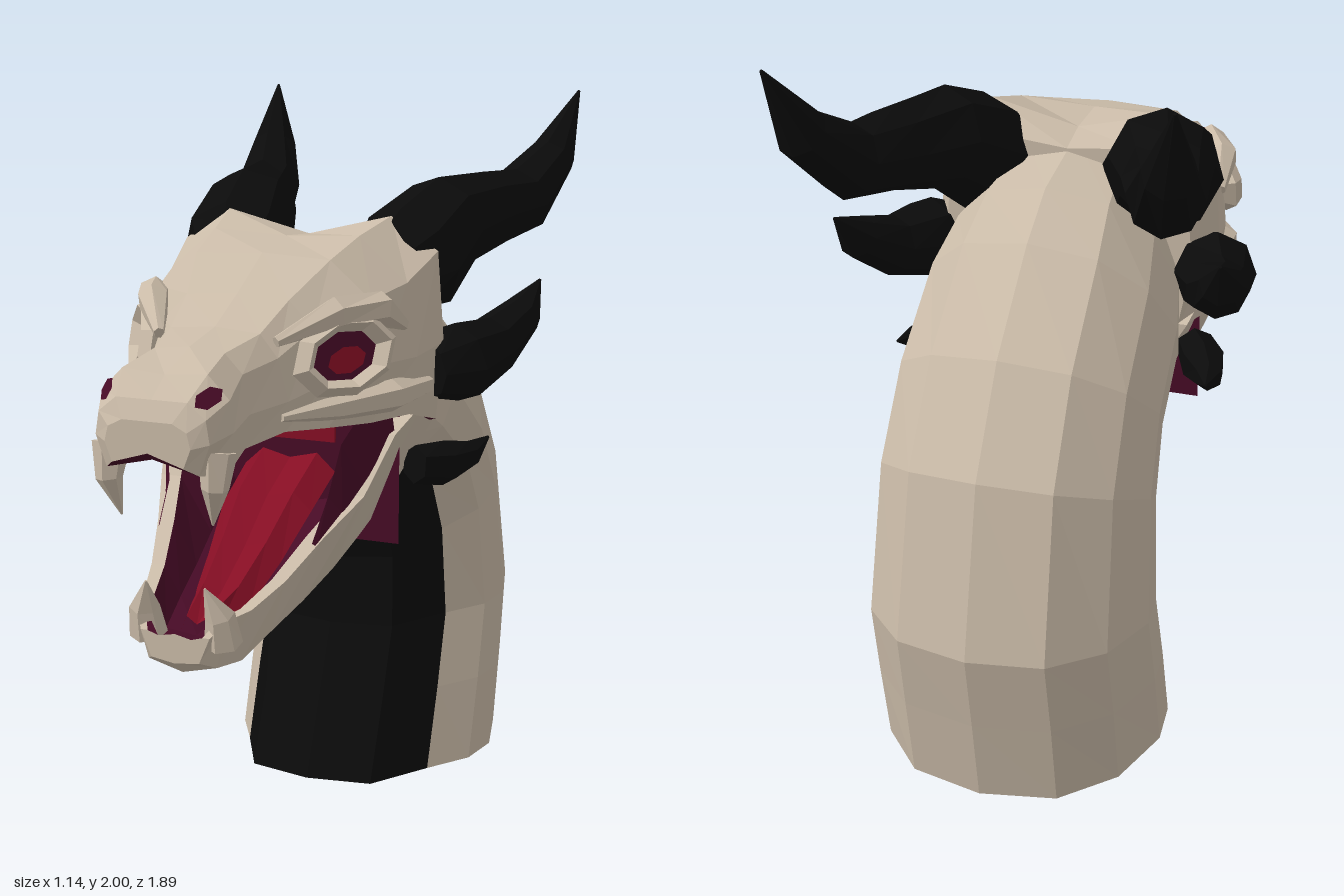
import * as THREE from 'three';

const mat = (name, color, side = THREE.FrontSide) => {
  const m = new THREE.MeshStandardMaterial({ color, side });
  m.name = name;
  return m;
};
const skin = mat('bone skin', 0xcabba8);
const black = mat('black horn', 0x0b0b0b);
const mouth = mat('dark mouth', 0x470b26, THREE.DoubleSide);
const red = mat('red tongue', 0x860e24, THREE.DoubleSide);

const V = (x, y, z) => new THREE.Vector3(x, y, z);

export function createModel() {
  const model = new THREE.Group();

  const add = (name, geo, material, parent = model) => {
    const flat = geo.index ? geo.toNonIndexed() : geo;
    flat.computeVertexNormals();
    const mesh = new THREE.Mesh(flat, material);
    mesh.name = name;
    parent.add(mesh);
    return mesh;
  };

  // Faceted skin over rings that run clockwise seen from the end of the path
  const loft = (rings, { closed = false, start = false, end = false } = {}) => {
    const pts = [];
    const n = rings[0].length;
    for (let i = 0; i < rings.length - 1; i++) {
      for (let j = 0; j < (closed ? n : n - 1); j++) {
        const k = (j + 1) % n;
        const a = rings[i][j], b = rings[i][k], c = rings[i + 1][k], d = rings[i + 1][j];
        pts.push(a, d, c, a, c, b);
      }
    }
    const cap = (ring, flip) => {
      const mid = ring.reduce((s, p) => s.add(p), V(0, 0, 0)).divideScalar(n);
      ring.forEach((p, j) => {
        const q = ring[(j + 1) % n];
        if (flip) pts.push(mid, q, p); else pts.push(mid, p, q);
      });
    };
    if (start) cap(rings[0], false);
    if (end) cap(rings[rings.length - 1], true);
    return new THREE.BufferGeometry().setFromPoints(pts);
  };

  // Half profile (centre outward) mirrored across x
  const sym = (half, flip = false) => {
    const full = [...half.slice(1).reverse().map(p => V(-p.x, p.y, p.z)), ...half];
    return flip ? full.reverse() : full;
  };

  // Tapering spike along [x, y, z, radius] points
  const spike = (name, path, s, material, sides = 8, squash = 1) => {
    const c = path.map(p => V(p[0] * s, p[1], p[2]));
    const rings = c.map((p, i) => {
      const t = c[Math.min(i + 1, c.length - 1)].clone().sub(c[Math.max(i - 1, 0)]).normalize();
      const u = t.clone().cross(V(1, 0, 0)).normalize();
      const v = t.clone().cross(u);
      return Array.from({ length: sides }, (_, j) => {
        const a = -j / sides * Math.PI * 2, r = path[i][3];
        return p.clone().addScaledVector(u, Math.cos(a) * r).addScaledVector(v, Math.sin(a) * r * squash);
      });
    });
    return add(name, loft(rings, { closed: true, start: true, end: true }), material);
  };

  // Neck: front (y, z), back (y, z), half width
  const neck = [
    [0, 0.02, 0, -0.87, 0.4], [0.23, -0.07, 0.25, -0.91, 0.4], [0.44, -0.15, 0.48, -0.95, 0.395],
    [0.64, -0.17, 0.95, -0.84, 0.38], [0.75, -0.14, 1.22, -0.67, 0.37],
    [0.82, 0, 1.45, -0.43, 0.36], [0.88, 0.08, 1.55, -0.28, 0.33], [0.95, 0.12, 1.61, -0.02, 0.28]
  ];
  const neckHalf = profile => neck.map(([fy, fz, by, bz, w]) =>
    profile.map(([x, t]) => V(x * w, fy + (by - fy) * t, fz + (bz - fz) * t)));
  const backHalf = neckHalf([[0, 1], [0.52, 0.95], [0.85, 0.79], [1, 0.56], [0.96, 0.4], [0.75, 0.25]]);
  const bellyHalf = neckHalf([[0, 0], [0.48, 0.04], [0.75, 0.25]]);
  add('neck', loft(backHalf.map(h => sym(h))), skin);
  add('neckBelly', loft(bellyHalf.map(h => sym(h, true))), black);
  const base = [...sym(backHalf[0]), ...sym(bellyHalf[0], true).slice(1, -1)];
  add('neckBase', loft([base], { start: true }), skin);

  // Skull and upper jaw: z, crown y, then crown shoulder, temple, cheek, lip (x, y)
  const skull = [
    [-0.1, 1.6, 0.2, 1.62, 0.34, 1.52, 0.36, 1.3, 0.32, 1.1],
    [0, 1.63, 0.25, 1.69, 0.39, 1.6, 0.41, 1.35, 0.39, 1.13],
    [0.15, 1.64, 0.22, 1.65, 0.36, 1.53, 0.39, 1.33, 0.37, 1.17],
    [0.3, 1.61, 0.2, 1.6, 0.32, 1.5, 0.35, 1.33, 0.32, 1.17],
    [0.45, 1.52, 0.15, 1.51, 0.22, 1.44, 0.26, 1.3, 0.26, 1.18],
    [0.58, 1.45, 0.13, 1.44, 0.18, 1.38, 0.21, 1.27, 0.2, 1.19],
    [0.72, 1.42, 0.1, 1.41, 0.15, 1.36, 0.17, 1.26, 0.155, 1.17],
    [0.85, 1.37, 0.12, 1.38, 0.18, 1.32, 0.19, 1.24, 0.17, 1.13],
    [0.92, 1.32, 0.1, 1.32, 0.15, 1.28, 0.16, 1.22, 0.13, 1.14],
    [0.945, 1.27, 0.07, 1.27, 0.11, 1.25, 0.12, 1.21, 0.1, 1.16]
  ];
  const skullHalf = skull.map(([z, y, ...p]) =>
    [V(0, y, z), ...[0, 2, 4, 6].map(i => V(p[i], p[i + 1], z))]);
  const palateHalf = skullHalf.map(h => [V(0, h[4].y + 0.03, h[4].z), h[4]]);
  add('skull', loft(skullHalf.map(h => sym(h))), skin);
  add('palate', loft(palateHalf.map(h => sym(h, true))), mouth);
  const ends = i => [...sym(skullHalf[i]), palateHalf[i][0]];
  add('snoutTip', loft([ends(9)], { end: true }), skin);
  add('skullBack', loft([ends(0)], { start: true }), skin);

  // Lower jaw: z, chin y, lower edge (x, y), rim (x, y)
  const jaw = [
    [-0.1, 0.88, 0.24, 0.93, 0.35, 1.12], [0.05, 0.82, 0.25, 0.88, 0.37, 1.18],
    [0.2, 0.75, 0.24, 0.82, 0.35, 1.12], [0.32, 0.69, 0.22, 0.76, 0.31, 0.97],
    [0.45, 0.64, 0.19, 0.7, 0.25, 0.88], [0.58, 0.6, 0.16, 0.65, 0.2, 0.79],
    [0.7, 0.57, 0.13, 0.6, 0.16, 0.74], [0.78, 0.575, 0.1, 0.6, 0.13, 0.73], [0.82, 0.61, 0.07, 0.62, 0.1, 0.69]
  ];
  const jawOuter = jaw.map(([z, y, bx, by, tx, ty]) =>
    [V(0, y, z), V(bx, by, z), V(tx, ty, z), V(tx * 0.8, ty, z)]);
  const jawInner = jaw.map(([z, y, bx, by, tx, ty]) =>
    [V(0, y + 0.08, z), V(bx * 0.7, by + 0.06, z), V(tx * 0.8, ty, z)]);
  add('lowerJaw', loft(jawOuter.map(h => sym(h, true))), skin);
  add('jawLining', loft(jawInner.map(h => sym(h))), mouth);
  const jawEnd = i => [...sym(jawInner[i]), ...sym(jawOuter[i], true).slice(1, -1)];
  add('chin', loft([jawEnd(8)], { end: true }), skin);
  add('jawBack', loft([jawEnd(0)], { start: true }), skin);

  // Tongue and throat
  const tongue = [[0.13, 1.03, 0.14], [0.28, 0.95, 0.135], [0.42, 0.84, 0.11], [0.56, 0.75, 0.085], [0.7, 0.7, 0.05]];
  add('tongue', loft(tongue.map(([z, y, w]) =>
    sym([V(0, y - 0.02, z), V(w * 0.6, y, z), V(w, y - 0.05, z)])), {}), red);
  add('throat', new THREE.PlaneGeometry(0.66, 0.42), mouth).position.set(0, 1.0, 0.12);
  add('throatArch', new THREE.BoxGeometry(0.28, 0.09, 0.008), red).position.set(0, 1.11, 0.13);

  for (const s of [1, -1]) {
    // Horns and cheek spikes
    spike('horn', [[0.25, 1.53, 0, 0.13], [0.27, 1.56, -0.09, 0.165], [0.31, 1.65, -0.25, 0.14], [0.37, 1.67, -0.42, 0.115],
      [0.42, 1.69, -0.6, 0.1], [0.47, 1.81, -0.75, 0.07], [0.51, 2.0, -0.865, 0.004]], s, black);
    spike('earSpike', [[0.37, 1.27, 0.02, 0.08], [0.42, 1.28, -0.08, 0.115], [0.47, 1.31, -0.24, 0.085],
      [0.51, 1.38, -0.37, 0.06], [0.53, 1.47, -0.47, 0.004]], s, black);
    spike('jawSpike', [[0.34, 1.0, 0.03, 0.055], [0.39, 0.99, -0.06, 0.065], [0.43, 1.0, -0.16, 0.04],
      [0.45, 1.03, -0.27, 0.004]], s, black, 6);

    // Fangs
    spike('upperFang', [[0.15, 1.19, 0.86, 0.05], [0.15, 1.1, 0.875, 0.035], [0.13, 1.0, 0.85, 0.003]], s, skin, 6);
    spike('lowerFang', [[0.11, 0.66, 0.76, 0.05], [0.11, 0.74, 0.78, 0.04], [0.085, 0.82, 0.815, 0.003]], s, skin, 6);

    // Brow and cheek ridges
    spike('brow', [[0.36, 1.42, 0.18, 0.02], [0.34, 1.48, 0.29, 0.045], [0.27, 1.48, 0.42, 0.045],
      [0.17, 1.42, 0.57, 0.015]], s, skin, 6);
    spike('cheekRidge', [[0.38, 1.24, 0.06, 0.03], [0.36, 1.24, 0.25, 0.045], [0.27, 1.23, 0.42, 0.035],
      [0.2, 1.23, 0.6, 0.01]], s, skin, 6);

    // Eye in a raised socket
    const eye = new THREE.Group();
    eye.name = 'eye';
    eye.position.set(0.297 * s, 1.37, 0.42);
    eye.lookAt(V((0.297 + 0.8) * s, 1.37 + 0.2, 0.42 + 0.56));
    eye.rotateZ(s * 0.22);
    add('eyeball', new THREE.CircleGeometry(1, 8), mouth, eye).scale.set(0.11, 0.068, 1);
    const iris = add('iris', new THREE.CircleGeometry(1, 8), red, eye);
    iris.scale.set(0.06, 0.035, 1);
    iris.position.set(0, -0.012, 0.004);
    add('eyeSocket', new THREE.TorusGeometry(1, 0.25, 4, 8), skin, eye).scale.set(0.132, 0.086, 0.12);
    model.add(eye);

    // Nostril
    const nostril = add('nostril', new THREE.CircleGeometry(1, 6), mouth);
    nostril.position.set(0.143 * s, 1.33, 0.89);
    nostril.lookAt(V(1.143 * s, 2.33, 1.89));
    nostril.rotateZ(s * 0.5);
    nostril.scale.set(0.045, 0.026, 1);

    // Cheek membrane at the mouth corner
    const upper = [V(0.33 * s, 1.19, 0.18), V(0.29 * s, 1.19, 0.3), V(0.265 * s, 1.12, 0.37), V(0.24 * s, 0.98, 0.4), V(0.23 * s, 0.87, 0.48)];
    const lower = [V(0.34 * s, 1.12, 0.18), V(0.32 * s, 1.05, 0.25), V(0.3 * s, 1.0, 0.3), V(0.27 * s, 0.93, 0.37), V(0.24 * s, 0.86, 0.47)];
    add('cheekMembrane', loft([upper, lower]), mouth);
  }
  return model;
}
